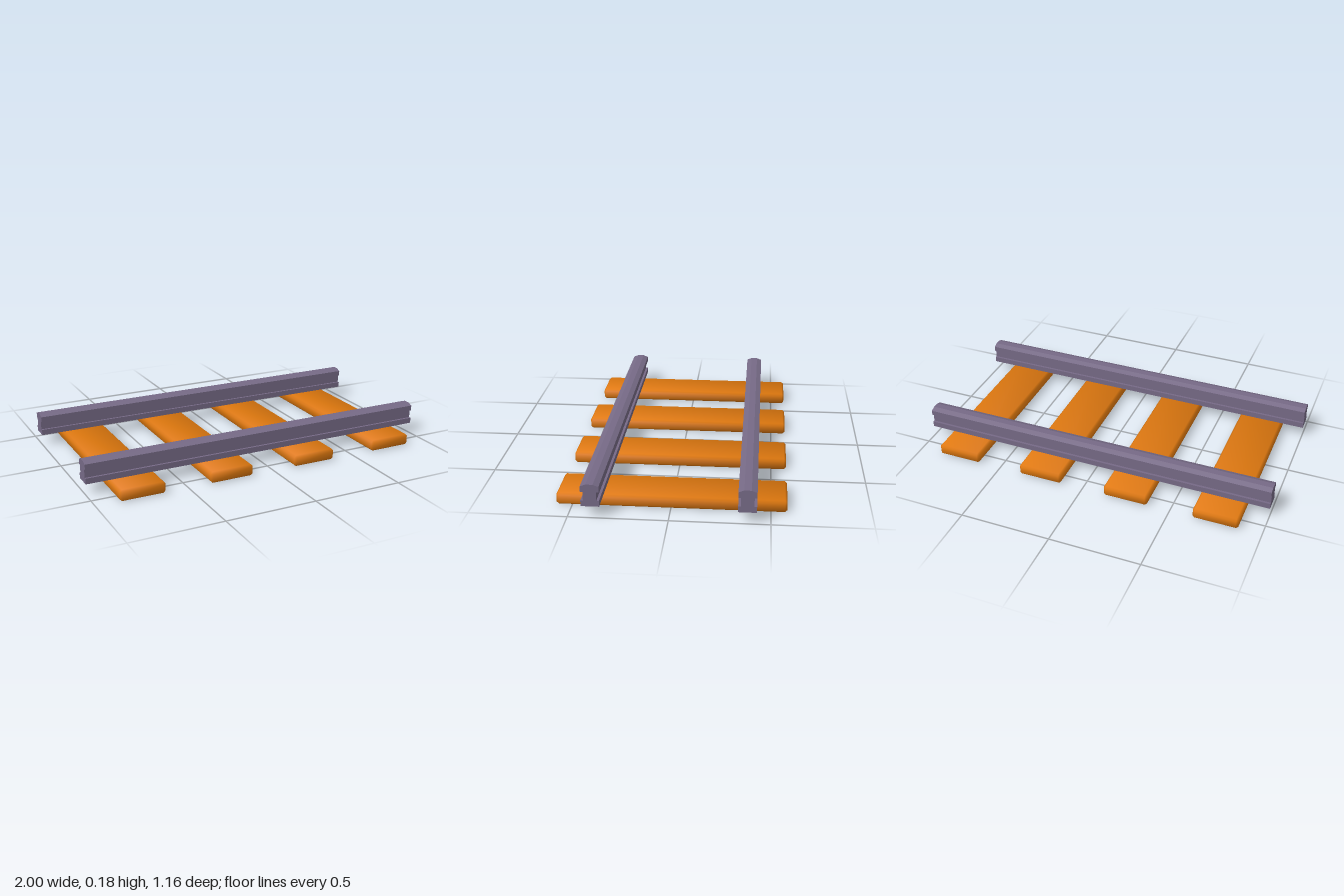
import * as THREE from 'three';
import { ConvexGeometry } from 'three/addons/geometries/ConvexGeometry.js';

const wood = new THREE.MeshStandardMaterial({ color: 0xe0790e });
wood.name = 'orange wood';
const steel = new THREE.MeshStandardMaterial({ color: 0x766a86 });
steel.name = 'purple grey steel';

// Box with chamfered edges and softly blended normals, centred on the origin
function softBox(width, height, depth, chamfer) {
  const half = [width / 2, height / 2, depth / 2];
  const points = [];
  for (let axis = 0; axis < 3; axis++)
    for (const sx of [-1, 1])
      for (const sy of [-1, 1])
        for (const sz of [-1, 1])
          points.push(new THREE.Vector3(...[sx, sy, sz].map(
            (s, i) => s * (i === axis ? half[i] : half[i] - chamfer))));
  const geometry = new ConvexGeometry(points);
  const { position, normal } = geometry.attributes;
  const n = new THREE.Vector3();
  for (let v = 0; v < position.count; v++) {
    const p = [position.getX(v), position.getY(v), position.getZ(v)];
    n.set(...p.map((c, i) => Math.sign(c) * (Math.abs(c) > half[i] - chamfer / 2 ? 2.4 : 1)));
    n.normalize();
    normal.setXYZ(v, n.x, n.y, n.z);
  }
  return geometry;
}

// Rail cross-section: foot, web and bevelled head, extruded along x
function railGeometry(length) {
  const side = [
    [0.046, 0.062], [0.046, 0.093], [0.033, 0.093], [0.033, 0.14],
    [0.046, 0.14], [0.046, 0.169], [0.018, 0.18],
  ];
  const mirrored = side.map(([x, y]) => [-x, y]).reverse();
  const shape = new THREE.Shape([...side, ...mirrored].map(([x, y]) => new THREE.Vector2(x, y)));
  const geometry = new THREE.ExtrudeGeometry(shape, { depth: length, bevelEnabled: false });
  geometry.translate(0, 0, -length / 2);
  geometry.rotateY(Math.PI / 2);
  return geometry;
}

export function createModel() {
  const track = new THREE.Group();
  track.name = 'railwayTrack';

  // Four sleepers, evenly spaced
  const sleeperGeometry = softBox(0.246, 0.062, 1.162, 0.011);
  for (let i = 0; i < 4; i++) {
    const sleeper = new THREE.Mesh(sleeperGeometry, wood);
    sleeper.name = 'sleeper' + (i + 1);
    sleeper.position.set(-0.75 + i * 0.5, 0.031, 0);
    track.add(sleeper);
  }

  // Two parallel rails
  const rail = railGeometry(2);
  for (const [name, z] of [['frontRail', 0.385], ['backRail', -0.385]]) {
    const mesh = new THREE.Mesh(rail, steel);
    mesh.name = name;
    mesh.position.z = z;
    track.add(mesh);
  }
  return track;
}
